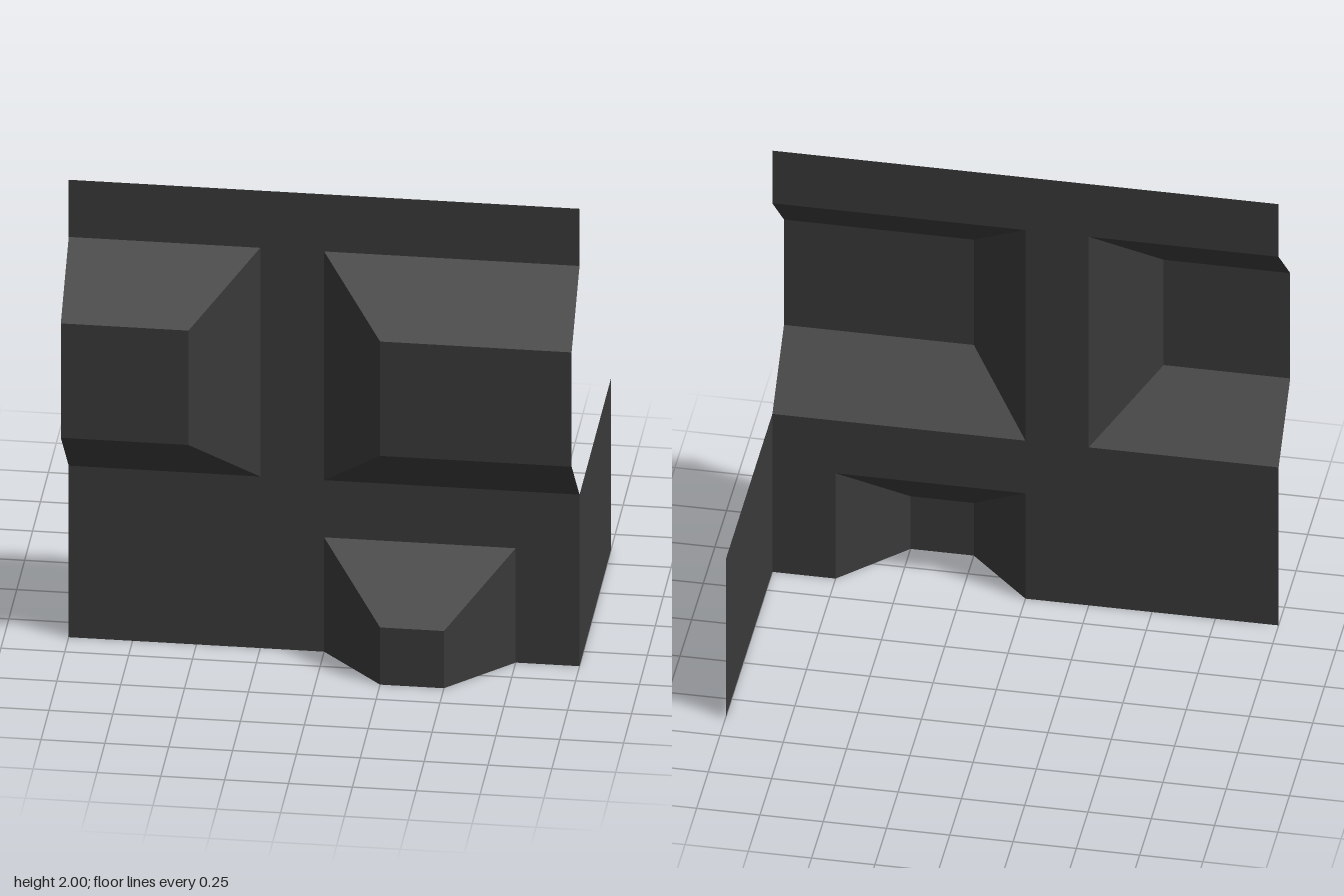
import * as THREE from 'three';

const WALL_Z = 0.375, BAY_Z = 0.625;

// Hollow bay with sloped sides; a side where outer and inner edges coincide stays open
function createBay(name, outer, inner, material) {
  const corners = ([x0, y0, x1, y1], z) =>
    [[x0, y0], [x1, y0], [x1, y1], [x0, y1]].map(([x, y]) => [x, y, z]);
  const o = corners(outer, WALL_Z), n = corners(inner, BAY_Z);
  const openSide = [1, 2, 3, 0].map(k => outer[k] === inner[k]); // bottom, right, top, left
  const positions = [];
  const quad = (a, b, c, d) => positions.push(...a, ...b, ...c, ...a, ...c, ...d);
  quad(...n);
  for (let i = 0; i < 4; i++) {
    const j = (i + 1) % 4;
    if (!openSide[i]) quad(o[i], o[j], n[j], n[i]);
  }
  const geometry = new THREE.BufferGeometry();
  geometry.setAttribute('position', new THREE.Float32BufferAttribute(positions, 3));
  geometry.computeVertexNormals();
  const mesh = new THREE.Mesh(geometry, material);
  mesh.name = name;
  return mesh;
}

export function createModel() {
  const model = new THREE.Group();
  model.name = 'wallSection';
  const darkGrey = new THREE.MeshStandardMaterial({ color: 0x3a3a3a, side: THREE.DoubleSide });
  darkGrey.name = 'darkGrey';

  // Front wall sheet, notched behind each bay
  const outline = [
    [-1, 0], [0, 0], [0, 0.5], [0.75, 0.5], [0.75, 0], [1, 0],
    [1, 0.75], [0, 0.75], [0, 1.75], [1, 1.75], [1, 2], [-1, 2],
    [-1, 1.75], [-0.25, 1.75], [-0.25, 0.75], [-1, 0.75],
  ].map(([x, y]) => new THREE.Vector2(x, y));
  const wall = new THREE.Mesh(new THREE.ShapeGeometry(new THREE.Shape(outline)), darkGrey);
  wall.name = 'frontWall';
  wall.position.z = WALL_Z;
  model.add(wall);

  // Bays: [x0, y0, x1, y1] at the wall and at the front face
  model.add(
    createBay('upperRightBay', [-1, 0.75, -0.25, 1.75], [-1, 1, -0.5, 1.5], darkGrey),
    createBay('upperLeftBay', [0, 0.75, 1, 1.75], [0.25, 1, 1, 1.5], darkGrey),
    createBay('lowerBay', [0, 0, 0.75, 0.5], [0.25, 0, 0.5, 0.25], darkGrey),
  );

  // Low side wall running back from the left edge
  const side = new THREE.Mesh(new THREE.PlaneGeometry(1, 0.75), darkGrey);
  side.name = 'sideWall';
  side.rotation.y = Math.PI / 2;
  side.position.set(1, 0.375, -0.125);
  model.add(side);

  return model;
}
